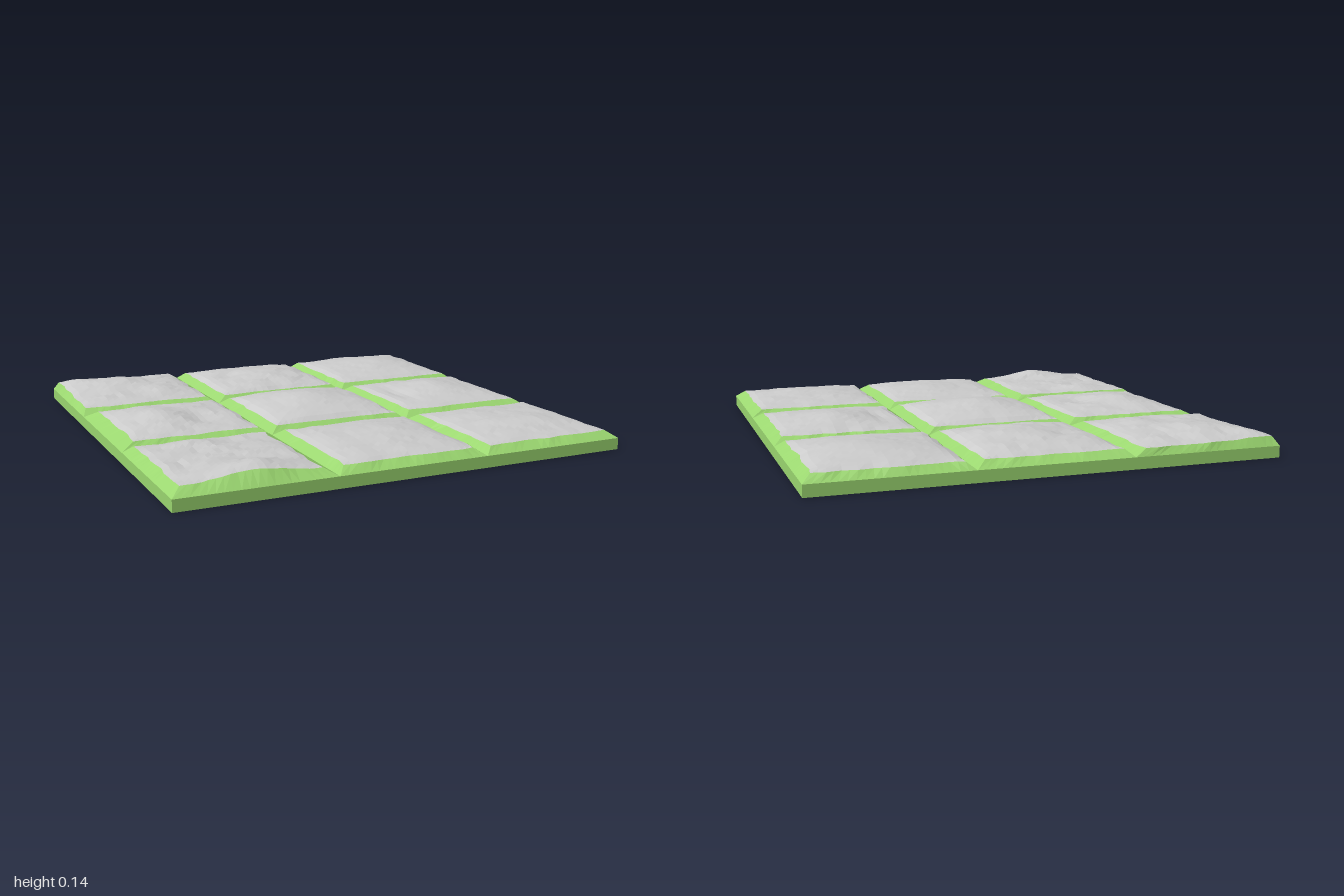
import * as THREE from 'three';

const CELL = 2 / 3, HALF = CELL / 2, BASE = 0.05, RIM = 0.08, N = 20;

// Smooth value noise in [-1, 1]
function hash(x, z) {
  const s = Math.sin(x * 127.1 + z * 311.7) * 43758.5453;
  return (s - Math.floor(s)) * 2 - 1;
}
function noise(x, z) {
  const i = Math.floor(x), j = Math.floor(z);
  const ease = t => t * t * (3 - 2 * t);
  const a = ease(x - i), b = ease(z - j), mix = THREE.MathUtils.lerp;
  return mix(mix(hash(i, j), hash(i + 1, j), a), mix(hash(i, j + 1), hash(i + 1, j + 1), a), b);
}

// Grid surface from a rule f(i, j) -> [x, y, z]
function surface(ni, nj, f) {
  const pos = [], index = [];
  for (let j = 0; j <= nj; j++) for (let i = 0; i <= ni; i++) pos.push(...f(i, j));
  for (let j = 0; j < nj; j++) for (let i = 0; i < ni; i++) {
    const a = j * (ni + 1) + i, b = a + 1, c = a + ni + 1, d = c + 1;
    index.push(a, c, b, b, c, d);
  }
  const g = new THREE.BufferGeometry();
  g.setAttribute('position', new THREE.Float32BufferAttribute(pos, 3));
  g.setIndex(index);
  g.computeVertexNormals();
  return g;
}

// Nine tiles, back to front and left to right as seen from above.
// inset: -x, +x, -z, +z; bumps: local centre u, v, radii u, v, height
const TILES = [
  { inset: [0.025, 0.05, 0.02, 0.045], dome: 0.02, rough: 0.008,
    bumps: [[-0.25, -0.35, 0.5, 0.45, 0.026], [-0.8, -0.8, 0.3, 0.3, 0.016], [0.5, 0.4, 0.35, 0.3, 0.012]] },
  { inset: [0.04, 0.04, 0.04, 0.04], dome: 0.035, rough: 0.007,
    bumps: [[0.1, 0.1, 0.5, 0.5, 0.012], [-0.5, -0.1, 0.2, 0.2, -0.01]] },
  { inset: [0.035, 0.045, 0.035, 0.04], dome: 0.03, rough: 0.004,
    bumps: [[0.2, -0.1, 0.5, 0.45, 0.014]] },
  { inset: [0.065, 0.045, 0.045, 0.045], dome: 0.025, rough: 0.006,
    bumps: [[-0.3, -0.1, 0.35, 0.45, 0.02], [0.35, 0.25, 0.25, 0.35, -0.018]] },
  { inset: [0.04, 0.04, 0.04, 0.04], dome: 0.045, rough: 0.004,
    bumps: [[-0.05, 0, 0.45, 0.45, 0.018]] },
  { inset: [0.045, 0.045, 0.045, 0.05], dome: 0.022, rough: 0.004,
    bumps: [[0.1, -0.1, 0.5, 0.55, 0.024], [-0.65, 0, 0.14, 0.5, -0.012]] },
  { inset: [0.045, 0.055, 0.035, 0.05], dome: 0.012, rough: 0.009,
    bumps: [[0.05, 0.8, 0.55, 0.35, 0.034], [-0.3, -0.7, 0.4, 0.2, 0.016]] },
  { inset: [0.04, 0.04, 0.045, 0.04], dome: 0.025, rough: 0.005,
    bumps: [[0.1, -0.1, 0.55, 0.45, 0.01]] },
  { inset: [0.04, 0.045, 0.045, 0.04], dome: 0.022, rough: 0.005,
    bumps: [[0.1, 0.2, 0.6, 0.3, 0.012], [-0.4, -0.5, 0.4, 0.25, 0.008]] },
];

// Point on the rough stone top, u and v in [-1, 1]
function stonePoint(tile, seed, u, v) {
  const wob = (t, k) => tile.inset[k] + 0.008 * noise(t * 5 + 20 + k * 13, seed * 7.3);
  const x = THREE.MathUtils.lerp(-HALF + wob(v, 0), HALF - wob(v, 1), (u + 1) / 2);
  const z = THREE.MathUtils.lerp(-HALF + wob(u, 2), HALF - wob(u, 3), (v + 1) / 2);
  const inner = (1 - u * u) * (1 - v * v);
  let y = RIM + tile.dome * Math.sqrt(inner);
  for (const [cu, cv, ru, rv, h] of tile.bumps) {
    y += h * Math.exp(-(((u - cu) / ru) ** 2) - ((v - cv) / rv) ** 2);
  }
  const n = 0.6 * noise(u * 3 + seed * 17, v * 3 + 50) + 0.4 * noise(u * 7 + seed * 31, v * 8 + 90);
  y += tile.rough * n * (0.4 + 0.6 * Math.min(1, inner * 3));
  // Soft strata steps
  const step = 0.009, k = y / step, f = k - Math.floor(k);
  y = step * (Math.floor(k) + THREE.MathUtils.lerp(f, f * f * (3 - 2 * f), 0.6));
  return [x, y, z];
}

export function createModel() {
  const model = new THREE.Group();
  model.name = 'stoneTileFloor';
  const green = new THREE.MeshStandardMaterial({ color: 0x9bd770, flatShading: true });
  const grey = new THREE.MeshStandardMaterial({ color: 0xcccccc, flatShading: true });

  // Base slab
  const slab = new THREE.Mesh(new THREE.BoxGeometry(2, BASE, 2), green);
  slab.name = 'baseSlab';
  slab.position.y = BASE / 2;
  model.add(slab);

  const corners = [[1, 1], [-1, 1], [-1, -1], [1, -1], [1, 1]];
  TILES.forEach((tile, t) => {
    const group = new THREE.Group();
    group.name = 'tile' + (t + 1);
    group.position.set((t % 3 - 1) * CELL, 0, (Math.floor(t / 3) - 1) * CELL);

    // Stone cap
    const cap = new THREE.Mesh(
      surface(N, N, (i, j) => stonePoint(tile, t + 1, i / N * 2 - 1, j / N * 2 - 1)), grey);
    cap.name = 'stoneCap';

    // Sloped border from the groove up to the cap
    const border = new THREE.Mesh(surface(4 * N, 1, (i, j) => {
      const s = Math.min(3, Math.floor(i / N)), f = i / N - s;
      const u = THREE.MathUtils.lerp(corners[s][0], corners[s + 1][0], f);
      const v = THREE.MathUtils.lerp(corners[s][1], corners[s + 1][1], f);
      return j ? stonePoint(tile, t + 1, u, v) : [u * HALF, BASE, v * HALF];
    }), green);
    border.name = 'slopedBorder';

    group.add(cap, border);
    model.add(group);
  });
  return model;
}
